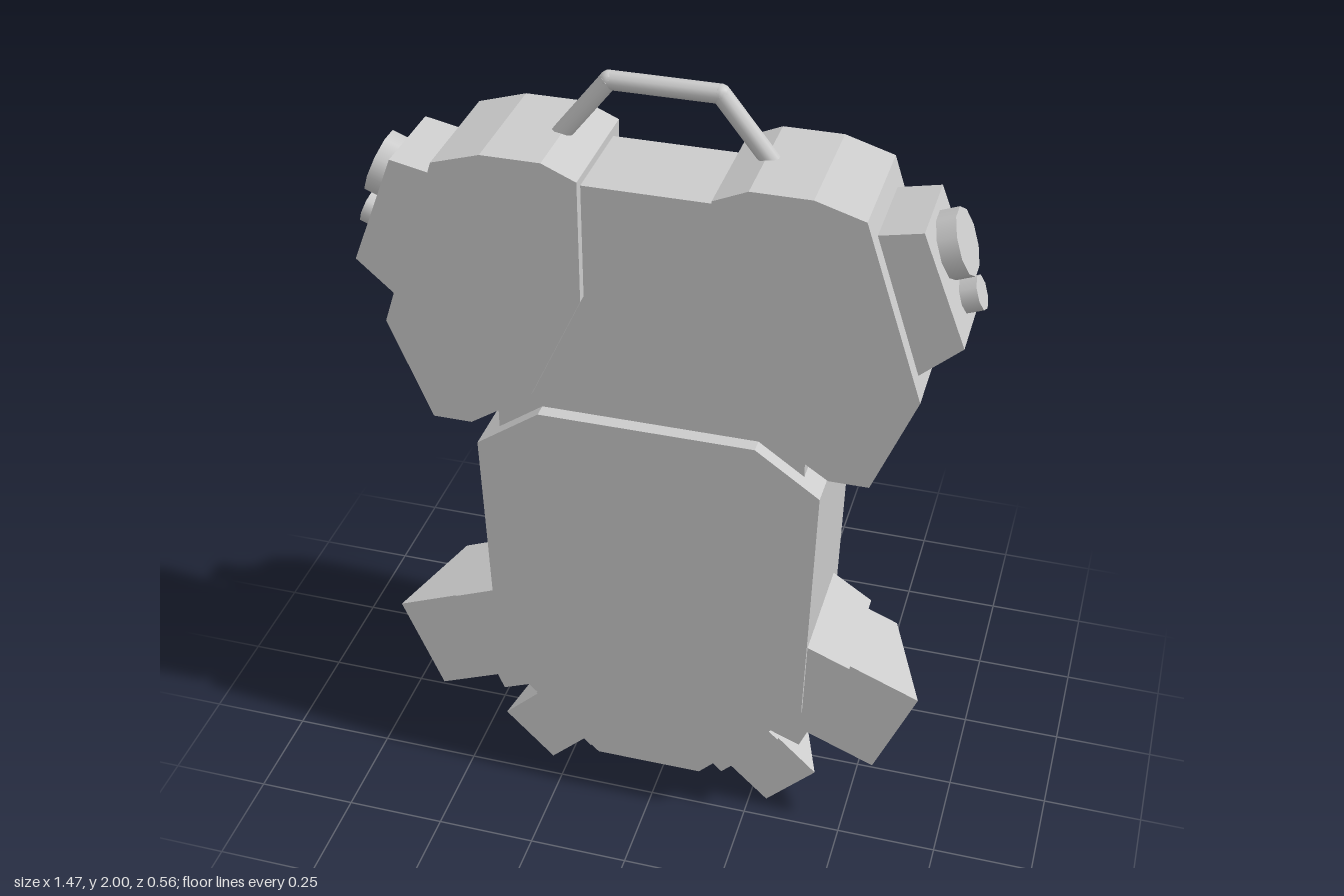
import * as THREE from 'three';

const material = new THREE.MeshStandardMaterial({ color: 0xcccccc, flatShading: true });
const smooth = new THREE.MeshStandardMaterial({ color: 0xcccccc });

function part(parent, name, geometry, mat = material) {
  const mesh = new THREE.Mesh(geometry, mat);
  mesh.name = name;
  parent.add(mesh);
  return mesh;
}

// Skin between rings of [x, y, z] (counter-clockwise seen from the end), with both ends capped
function loft(rings) {
  const out = [];
  const tri = (a, b, c) => out.push(...a, ...b, ...c);
  const n = rings[0].length, last = rings[rings.length - 1];
  for (let r = 0; r < rings.length - 1; r++) {
    const a = rings[r], b = rings[r + 1];
    for (let i = 0; i < n; i++) {
      const j = (i + 1) % n;
      tri(a[i], a[j], b[j]);
      tri(a[i], b[j], b[i]);
    }
  }
  for (let i = 1; i < n - 1; i++) {
    tri(rings[0][0], rings[0][i + 1], rings[0][i]);
    tri(last[0], last[i], last[i + 1]);
  }
  const g = new THREE.BufferGeometry();
  g.setAttribute('position', new THREE.Float32BufferAttribute(out, 3));
  g.computeVertexNormals();
  return g;
}

const toPath = (pts) => pts.map(([x, y]) => new THREE.Vector2(x, y));

// Flat slab between two depths, with optional holes
function slab(outline, z0, z1, holes = []) {
  const shape = new THREE.Shape(toPath(outline));
  holes.forEach((h) => shape.holes.push(new THREE.Path(toPath(h))));
  return new THREE.ExtrudeGeometry(shape, { depth: z1 - z0, bevelEnabled: false }).translate(0, 0, z0);
}

const rect = (x, y0, y1) => [[-x, y0], [x, y0], [x, y1], [-x, y1]];

// Copy of a mesh on the other side of x = 0, with its faces turned back outward
function mirror(mesh, parent, name) {
  mesh.updateMatrix();
  let g = mesh.geometry.clone().applyMatrix4(mesh.matrix);
  if (g.index) g = g.toNonIndexed();
  g.scale(-1, 1, 1);
  for (const attr of Object.values(g.attributes)) {
    const s = attr.itemSize;
    for (let i = 0; i < attr.count; i += 3) {
      for (let k = 0; k < s; k++) {
        const p = (i + 1) * s + k, q = (i + 2) * s + k;
        [attr.array[p], attr.array[q]] = [attr.array[q], attr.array[p]];
      }
    }
  }
  part(parent, name, g, mesh.material);
}

// Square section across the local x axis; the end may slant from back to front
const section = (xBack, xFront, h, zBack, zFront) =>
  [[xBack, -h, zBack], [xBack, h, zBack], [xFront, h, zFront], [xFront, -h, zFront]];

// Thruster: tapered collar and a hollow nozzle with a slanted mouth
function thruster(side, name, o) {
  const place = (m) => {
    m.position.set(o.x, o.y, 0);
    m.rotation.z = o.angle;
  };
  const [c0, c1] = o.collarZ, [z0, z1] = o.nozzleZ, t = o.rim;
  place(part(side, name + 'Collar', loft([
    section(-o.root, -o.root, o.collarH, c0 - 0.035, c1),
    section(-0.015, -0.015, o.collarH, c0, c1),
  ])));
  const slope = (o.front - o.back) / (z1 - z0);
  const b = o.back + slope * t, f = o.front - slope * t, d = o.depth;
  place(part(side, name + 'Nozzle', loft([
    section(-0.04, -0.04, o.h, z0, z1),
    section(o.back, o.front, o.h, z0, z1),
    section(b, f, o.h - t, z0 + t, z1 - t),
    section(b - d, f - d, o.h - t, z0 + t, z1 - t),
  ])));
}

export function createModel() {
  const model = new THREE.Group();
  model.name = 'jetBackpack';

  // Lower body with a recessed pocket in its back
  const body = [[-0.135, 0.145], [0.135, 0.145], [0.395, 0.415], [0.415, 1.08],
    [0.26, 1.19], [-0.26, 1.19], [-0.415, 1.08], [-0.395, 0.415]];
  const pocket = [[-0.115, 0.44], [0.115, 0.44], [0.15, 0.685], [-0.15, 0.685]];
  part(model, 'lowerBody', slab(body, -0.03, 0.28));
  part(model, 'lowerBodyBack', slab(body, -0.09, -0.03, [pocket]));

  // Upper body with two vent slots
  const upper = rect(0.37, 1.1, 1.79);
  part(model, 'upperBody', slab(upper, 0.06, 0.245));
  part(model, 'ventPanel', slab(upper, 0.005, 0.06, [rect(0.09, 1.53, 1.585), rect(0.09, 1.61, 1.665)]));

  // Round rear fan: rim, dished ring and clips
  const fan = new THREE.Group();
  fan.name = 'rearFan';
  fan.position.y = 1.22;
  model.add(fan);
  part(fan, 'fanRim', new THREE.CylinderGeometry(0.34, 0.34, 0.19, 20).rotateX(-Math.PI / 2).translate(0, 0, -0.095));
  const dish = [[0.31, 0.185], [0.305, 0.215], [0.285, 0.248], [0.25, 0.273], [0.215, 0.279],
    [0.175, 0.27], [0.135, 0.245], [0.11, 0.215], [0.1, 0.192]];
  part(fan, 'fanRing', new THREE.LatheGeometry(toPath(dish), 32).rotateX(-Math.PI / 2), smooth);
  for (const sx of [-1, 1]) for (const sy of [-1, 1]) {
    const a = Math.atan2(sy * 0.28, sx * 0.225);
    const clip = part(fan, 'fanClip', new THREE.BoxGeometry(0.08, 0.065, 0.075));
    clip.position.set(Math.cos(a) * 0.355, Math.sin(a) * 0.355, -0.14);
    clip.rotation.z = a;
  }
  part(fan, 'fanFoot', new THREE.BoxGeometry(0.16, 0.06, 0.08).translate(0, -0.325, -0.14));

  // Carrying handle
  const bar = [[-0.25, 1.82], [-0.125, 1.978], [0.125, 1.978], [0.25, 1.82]]
    .map(([x, y]) => new THREE.Vector3(x, y, 0.105));
  for (let i = 0; i < 3; i++) {
    const dir = bar[i + 1].clone().sub(bar[i]);
    const rod = part(model, 'handleRod', new THREE.CylinderGeometry(0.022, 0.022, dir.length(), 10), smooth);
    rod.position.copy(bar[i]).addScaledVector(dir, 0.5);
    rod.quaternion.setFromUnitVectors(new THREE.Vector3(0, 1, 0), dir.normalize());
    if (i) part(model, 'handleBend', new THREE.SphereGeometry(0.022, 10, 8), smooth).position.copy(bar[i]);
  }

  // Everything below is built on the left side, then mirrored
  const left = new THREE.Group(), right = new THREE.Group();
  left.name = 'leftSide';
  right.name = 'rightSide';
  model.add(left, right);

  // Shoulder pod with a bevelled back edge
  const pod = [[0.15, 1.51], [0.28, 1.23], [0.43, 1.13], [0.525, 1.13], [0.625, 1.38],
    [0.485, 1.81], [0.37, 1.845], [0.23, 1.845], [0.15, 1.81]];
  const podRing = (z, sx, sy) => pod.map(([x, y]) => [0.39 + (x - 0.39) * sx, 1.49 + (y - 1.49) * sy, z]);
  part(left, 'shoulderPod', loft([podRing(-0.09, 0.82, 0.9), podRing(-0.04, 1, 1), podRing(0.27, 1, 1)]));

  // Control block with two round buttons on its sloping face
  part(left, 'controlBlock', slab([[0.45, 1.5], [0.605, 1.42], [0.705, 1.51], [0.6, 1.78], [0.48, 1.755]], 0.01, 0.23));
  const normal = new THREE.Vector3(0.27, 0.105, 0).normalize();
  for (const [name, x, y, r, h, sides] of [['largeButton', 0.635, 1.69, 0.078, 0.09, 10], ['smallButton', 0.681, 1.571, 0.041, 0.08, 8]]) {
    const button = part(left, name, new THREE.CylinderGeometry(r, r, h, sides), smooth);
    button.position.set(x, y, 0.11);
    button.quaternion.setFromUnitVectors(new THREE.Vector3(0, 1, 0), normal);
  }

  // Side and bottom thrusters
  thruster(left, 'sideThruster', {
    x: 0.462, y: 0.43, angle: -0.39, root: 0.15, collarH: 0.152, collarZ: [0, 0.268],
    h: 0.132, nozzleZ: [0.01, 0.235], front: 0.175, back: 0.07, rim: 0.03, depth: 0.045,
  });
  thruster(left, 'bottomThruster', {
    x: 0.262, y: 0.16, angle: -0.77, root: 0.13, collarH: 0.105, collarZ: [0.02, 0.215],
    h: 0.09, nozzleZ: [0.07, 0.19], front: 0.133, back: 0.065, rim: 0.022, depth: 0.03,
  });

  for (const mesh of left.children) mirror(mesh, right, mesh.name);
  return model;
}
